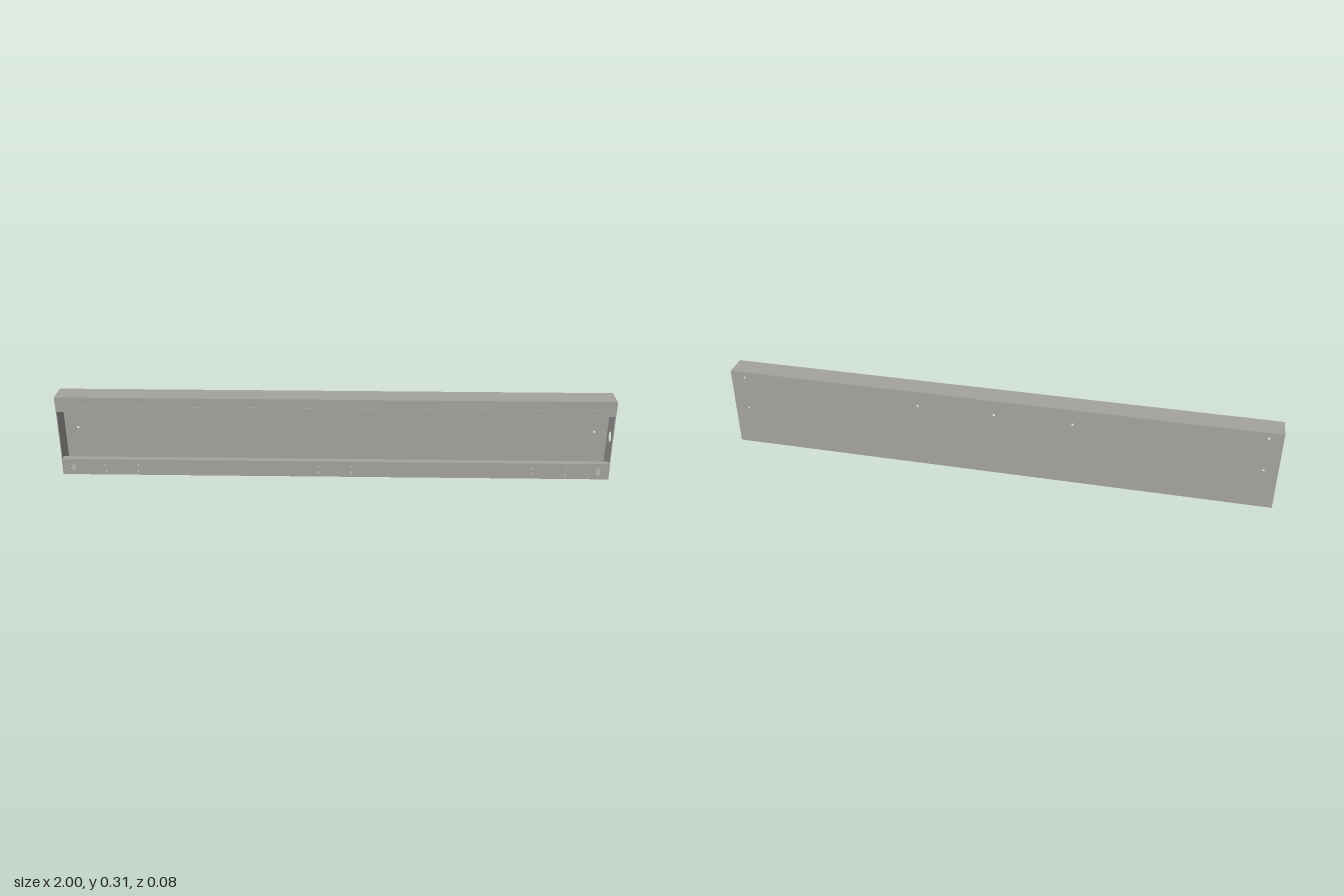
import * as THREE from 'three';

const L = 2, H = 0.306, D = 0.084, T = 0.003;

export function createModel() {
  const model = new THREE.Group();
  model.name = 'sheetMetalTray';
  const steel = new THREE.MeshStandardMaterial({ color: 0xa6a4a1 });
  steel.name = 'grey steel';

  const add = (name, geometry, x = 0, y = 0, z = 0) => {
    const mesh = new THREE.Mesh(geometry, steel);
    mesh.name = name;
    mesh.position.set(x, y, z);
    model.add(mesh);
    return mesh;
  };
  const box = (name, w, h, d, x, y, z) => add(name, new THREE.BoxGeometry(w, h, d), x, y, z);

  const polygon = (points) => new THREE.Shape(points.map(([x, y]) => new THREE.Vector2(x, y)));
  const rect = (x0, y0, x1, y1) => polygon([[x0, y0], [x1, y0], [x1, y1], [x0, y1]]);
  const hole = (shape, x, y, r) => shape.holes.push(new THREE.Path().absarc(x, y, r, 0, Math.PI * 2, true));
  const slot = (shape, x, y0, y1, r) => {
    const path = new THREE.Path();
    path.absarc(x, y1 - r, r, 0, Math.PI, false);
    path.absarc(x, y0 + r, r, Math.PI, Math.PI * 2, false);
    path.closePath();
    shape.holes.push(path);
  };
  const sheet = (shape, depth = T) =>
    new THREE.ExtrudeGeometry(shape, { depth, bevelEnabled: false, curveSegments: 12 });

  // Back panel with small fixing holes
  const back = rect(-L / 2, 0, L / 2, H);
  for (const x of [-0.95, 0.95]) for (const y of [0.022, 0.153, 0.283]) hole(back, x, y, 0.005);
  for (const x of [-0.283, 0, 0.283]) hole(back, x, 0.247, 0.005);
  add('backPanel', sheet(back), 0, 0, -D / 2);

  // Long top and bottom walls
  box('topWall', L, T, D - 2 * T, 0, H - T / 2, 0);
  box('bottomWall', L, T, D - 2 * T, 0, T / 2, 0);

  // End walls, the left one with a round cable opening
  const end = rect(-D / 2 + T, T, D / 2 - T, H - T);
  const openEnd = end.clone();
  hole(openEnd, 0, 0.154, 0.021);
  add('rightEndWall', sheet(end), -L / 2, 0, 0).rotation.y = Math.PI / 2;
  add('leftEndWall', sheet(openEnd), L / 2 - T, 0, 0).rotation.y = Math.PI / 2;

  // Lower front flange with slots, paired holes and an inward lip
  const lower = rect(-L / 2, 0, L / 2, 0.062);
  for (const side of [-1, 1]) {
    slot(lower, side * 0.96, 0.013, 0.055, 0.008);
    for (const x of [0.842, 0.722, 0.061])
      for (const y of [0.016, 0.042]) hole(lower, side * x, y, 0.006);
  }
  add('lowerFlange', sheet(lower), 0, 0, D / 2 - T);
  box('lowerFlangeLip', L - 2 * T, T, 0.02, 0, 0.062 - T / 2, D / 2 - T - 0.01);

  // Upper front flange, hemmed with five chamfered tabs
  box('upperFlange', L, H - 0.25, T, 0, (H + 0.25) / 2, D / 2 - T / 2 - 0.001);
  const w = 0.197;
  const tab = polygon([[-w, 0], [w, 0], [w, 0.008], [w - 0.012, 0.023], [-w + 0.012, 0.023], [-w, 0.008]]);
  const tabGeometry = sheet(tab, 0.002);
  for (let i = 0; i < 5; i++) add('hemTab', tabGeometry, (i - 2) * 0.398, 0.25, D / 2 - 0.002);

  return model;
}
